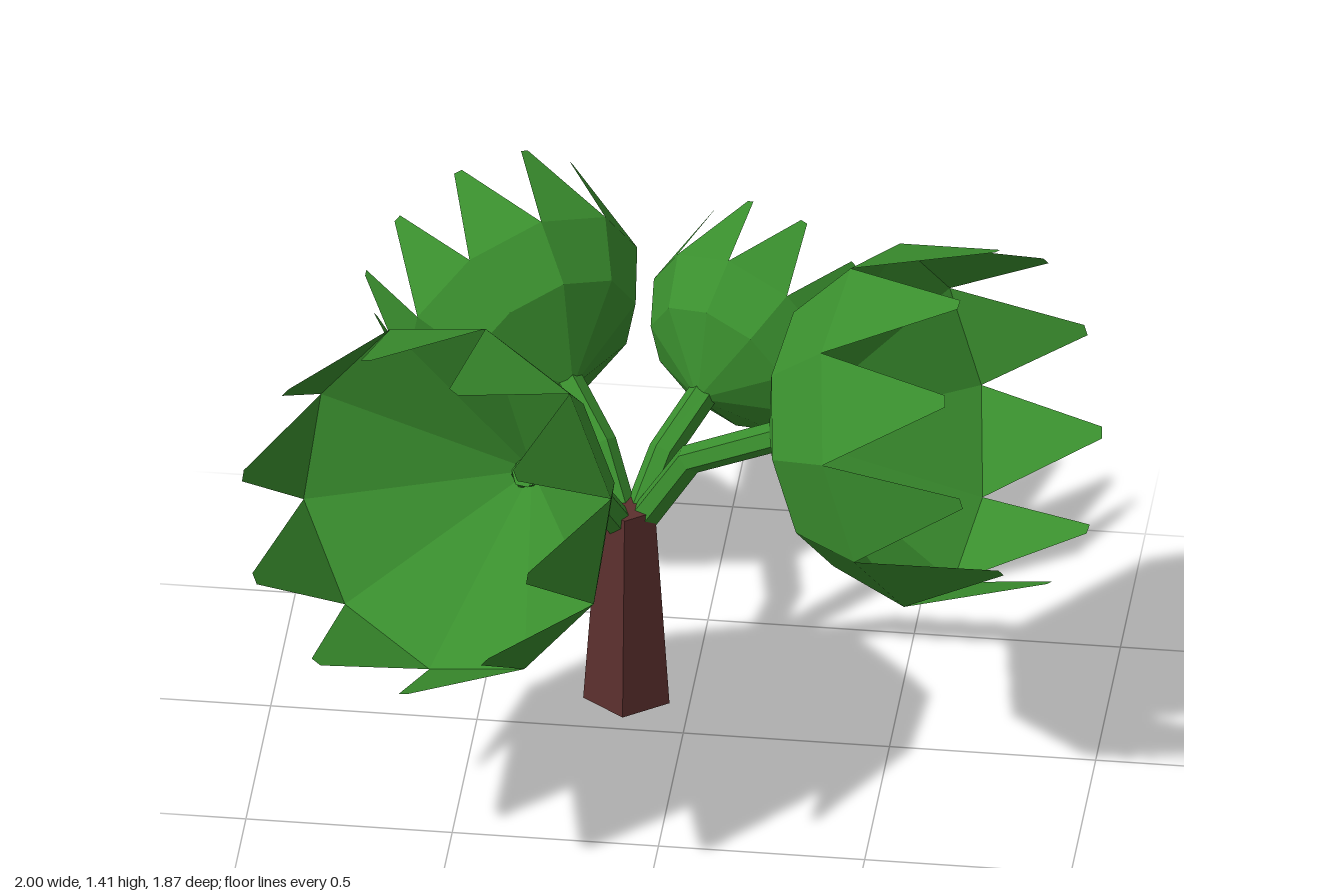
import * as THREE from 'three';

const V = (x, y, z) => new THREE.Vector3(x, y, z);
const SIDES = 10;

const bark = new THREE.MeshStandardMaterial({ color: 0x5c302e, flatShading: true });
const leaf = new THREE.MeshStandardMaterial({ color: 0x3a8f2e, flatShading: true, side: THREE.DoubleSide });

function add(parent, name, geometry, material) {
  const mesh = new THREE.Mesh(geometry, material);
  mesh.name = name;
  parent.add(mesh);
  return mesh;
}

// Faceted surface of revolution from [radius, height] pairs
function revolve(points) {
  return new THREE.LatheGeometry(points.map(([r, y]) => new THREE.Vector2(r, y)), SIDES);
}

// Ring of blunt pointed leaves standing on the rim of the cup
function leafRing(rimR, rimY, tipR, tipY, tipHalfAngle) {
  const pos = [];
  const at = (r, y, a) => [r * Math.sin(a), y, r * Math.cos(a)];
  const step = (Math.PI * 2) / SIDES;
  for (let i = 0; i < SIDES; i++) {
    const mid = (i + 0.5) * step;
    const a = at(rimR, rimY, i * step);
    const b = at(rimR, rimY, (i + 1) * step);
    const c = at(tipR, tipY, mid + tipHalfAngle);
    const d = at(tipR, tipY, mid - tipHalfAngle);
    pos.push(...a, ...b, ...c, ...a, ...c, ...d);
  }
  const g = new THREE.BufferGeometry();
  g.setAttribute('position', new THREE.Float32BufferAttribute(pos, 3));
  g.computeVertexNormals();
  return g;
}

// Leaf cup: bulging shell, conical hollow and pointed leaves, opening along the axis
function foliage(name, apex, axis, scale) {
  const cup = new THREE.Group();
  cup.name = name;
  add(cup, 'cupShell', revolve([[0, 0], [0.33, 0.17], [0.44, 0.36]]), leaf);
  add(cup, 'cupHollow', revolve([[0, 0.02], [0.44, 0.36]]), leaf);
  add(cup, 'pointedLeaves', leafRing(0.44, 0.36, 0.41, 0.69, 0.035), leaf);

  const y = axis.clone().normalize();
  const x = V(0, 1, 0).cross(y).normalize();
  const z = x.clone().cross(y);
  cup.quaternion.setFromRotationMatrix(new THREE.Matrix4().makeBasis(x, y, z));
  cup.position.copy(apex);
  cup.scale.setScalar(scale);
  return cup;
}

// Bent six-sided branch, closed where it pokes into the cup
function branch(name, start, bend, end) {
  const group = new THREE.Group();
  group.name = name;
  const curve = new THREE.CatmullRomCurve3([start, bend, end]);
  curve.getPointAt = (t, target) => curve.getPoint(t, target);
  curve.getTangentAt = (t, target) => curve.getTangent(t, target);
  add(group, 'branchStem', new THREE.TubeGeometry(curve, 2, 0.037, 6), leaf);
  const tip = add(group, 'branchTip', new THREE.CircleGeometry(0.037, 6), leaf);
  tip.position.copy(end);
  tip.quaternion.setFromUnitVectors(V(0, 0, 1), curve.getTangent(1));
  return group;
}

export function createModel() {
  const tree = new THREE.Group();
  tree.name = 'tree';

  // Five-sided tapering trunk
  const trunk = add(tree, 'trunk', new THREE.CylinderGeometry(0.072, 0.11, 0.54, 5), bark);
  trunk.position.set(-0.153, 0.27, -0.16);

  // Limbs: branch start, bend, cup apex, cup axis, cup scale
  const limbs = [
    ['left', V(-0.12, 0.5, -0.16), V(0.0, 0.7, -0.135), V(0.2, 0.83, -0.07), V(0.92, 0.3, 0.24), 1],
    ['frontRight', V(-0.17, 0.5, -0.14), V(-0.24, 0.69, -0.02), V(-0.34, 0.82, 0.13), V(-0.43, 0.28, 0.86), 1],
    ['backRight', V(-0.17, 0.5, -0.18), V(-0.23, 0.64, -0.27), V(-0.31, 0.74, -0.36), V(-0.57, 0.3, -0.76), 0.73],
    ['backLeft', V(-0.13, 0.5, -0.18), V(-0.08, 0.63, -0.27), V(-0.01, 0.72, -0.37), V(0.45, 0.3, -0.84), 0.62],
  ];
  for (const [name, start, bend, apex, axis, scale] of limbs) {
    const end = apex.clone().addScaledVector(axis.clone().normalize(), 0.055);
    tree.add(branch(name + 'Branch', start, bend, end));
    tree.add(foliage(name + 'Foliage', apex, axis, scale));
  }
  return tree;
}
